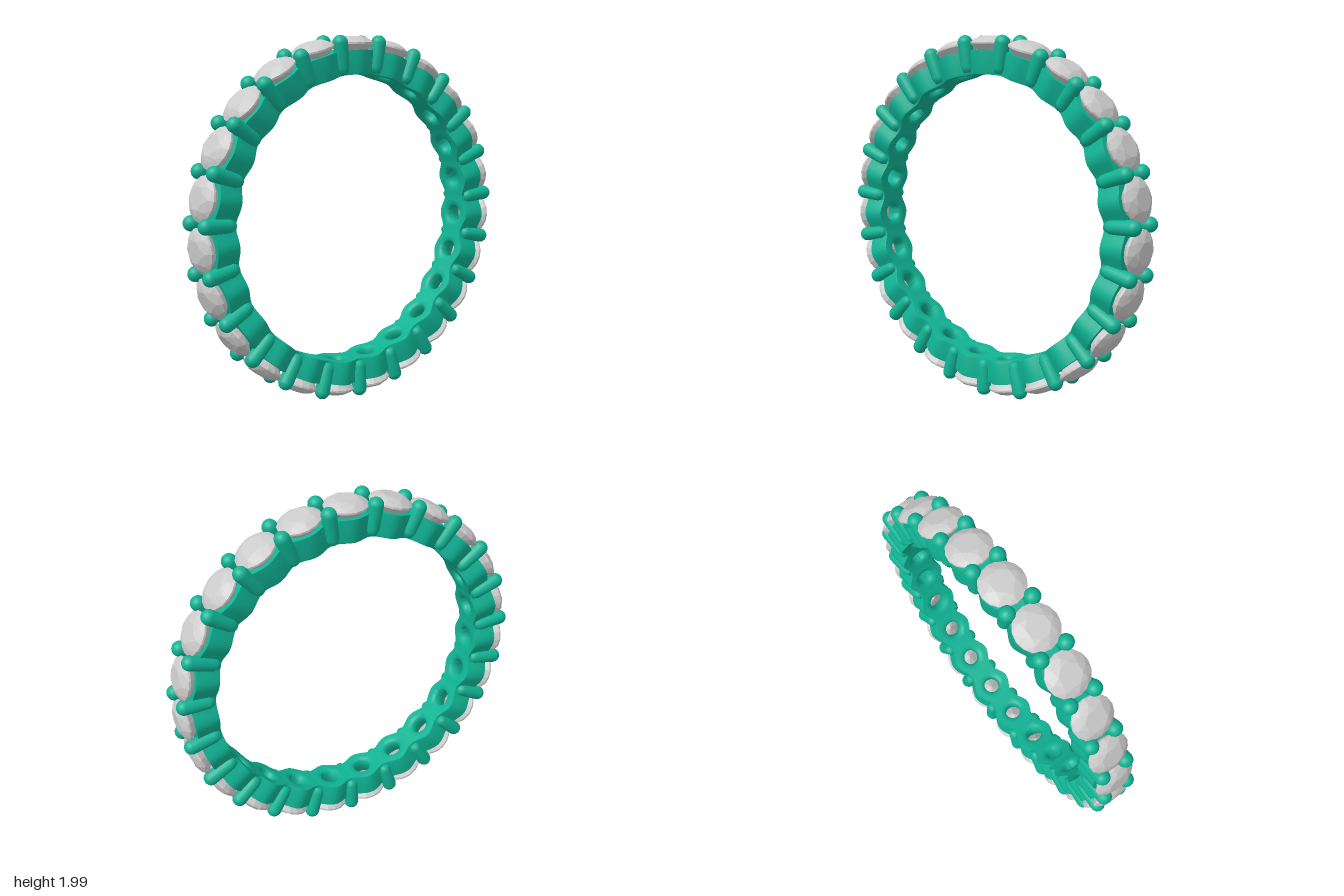
import * as THREE from 'three';
import { toCreasedNormals } from 'three/addons/utils/BufferGeometryUtils.js';
import { ConvexGeometry } from 'three/addons/geometries/ConvexGeometry.js';

const COUNT = 23;
const STEP = (Math.PI * 2) / COUNT;
const R_IN = 0.788, R_OUT = 0.917;

// One scalloped band segment with a tapered hole, bent around the ring axis
function bandSegment() {
  const n = 14, half = STEP / 2;
  const width = (t) => 0.093 + 0.019 * Math.cos((t / half) * Math.PI);
  // outline as (angle, z), going round from the +x, -z corner
  const outline = [];
  for (let side = 0; side < 4; side++) {
    for (let i = 0; i < n; i++) {
      const s = -1 + (2 * i) / n;
      if (side === 0) outline.push([half, s * width(half)]);
      if (side === 1) outline.push([-s * half, width(s * half)]);
      if (side === 2) outline.push([-half, -s * width(half)]);
      if (side === 3) outline.push([s * half, -width(s * half)]);
    }
  }
  // cross-section rings: hole radius, radial height, blend from hole to outline
  const rings = [
    [0.085, R_OUT, 0], [0.085, R_OUT, 0.5], [0.085, R_OUT, 1],
    [0.05, R_IN + 0.012, 1], [0.05, R_IN, 0.93], [0.05, R_IN, 0.5],
    [0.05, R_IN, 0.1], [0.046, R_IN + 0.012, 0], [0.046, 0.84, 0],
  ];
  const pos = [], index = [], m = outline.length;
  for (const [hole, r, k] of rings) {
    for (const [t, z] of outline) {
      const a = Math.atan2(z, t * 0.85);
      // the inner rounding only narrows the band, never its length
      const kt = k === 0.93 ? 1 : k;
      const th = THREE.MathUtils.lerp((hole * Math.cos(a)) / r, t, kt);
      const zz = THREE.MathUtils.lerp(hole * Math.sin(a), z, k);
      pos.push(r * Math.sin(th), r * Math.cos(th), zz);
    }
  }
  rings.forEach((ring, i) => {
    const i2 = (i + 1) % rings.length;
    for (let j = 0; j < m; j++) {
      const j2 = (j + 1) % m;
      const endWall = (i === 2 || i === 3) && (j < n || (j >= 2 * n && j < 3 * n));
      if (endWall) continue; // joins the next segment
      const a = i * m + j, a2 = i * m + j2, b = i2 * m + j, b2 = i2 * m + j2;
      index.push(a, a2, b, b, a2, b2);
    }
  });
  const g = new THREE.BufferGeometry();
  g.setAttribute('position', new THREE.Float32BufferAttribute(pos, 3));
  g.setIndex(index);
  return toCreasedNormals(g, 0.9);
}

// Round brilliant: table, crown, girdle, pavilion and culet
function stoneGeometry() {
  const pts = [];
  const ring = (r, y, n, shift = 0) => {
    for (let i = 0; i < n; i++) {
      const a = ((i + shift) / n) * Math.PI * 2;
      pts.push(new THREE.Vector3(r * Math.cos(a), y, r * Math.sin(a)));
    }
  };
  ring(0.062, 0.036, 8, 0.5);
  ring(0.092, 0.024, 8);
  ring(0.118, 0.004, 16);
  ring(0.118, -0.006, 16);
  ring(0.07, -0.054, 8, 0.5);
  pts.push(new THREE.Vector3(0, -0.11, 0));
  return new ConvexGeometry(pts);
}

// Straight post with a domed tip
function prongGeometry() {
  const r = 0.041, tip = 0.961;
  const profile = [new THREE.Vector2(0, 0.8), new THREE.Vector2(0.024, 0.8), new THREE.Vector2(0.036, 0.83)];
  for (let i = 0; i <= 8; i++) {
    const a = (i / 8) * Math.PI / 2;
    profile.push(new THREE.Vector2(i === 8 ? 0 : r * Math.cos(a), tip + r * Math.sin(a)));
  }
  return new THREE.LatheGeometry(profile, 20);
}

export function createModel() {
  const metal = new THREE.MeshStandardMaterial({ color: 0x10b394 });
  const gem = new THREE.MeshStandardMaterial({ color: 0xcccccc, flatShading: true });
  const segGeo = bandSegment(), gemGeo = stoneGeometry(), prongGeo = prongGeometry();

  const ring = new THREE.Group();
  ring.name = 'eternityRing';
  const add = (parent, name, geo, mat) => {
    const mesh = new THREE.Mesh(geo, mat);
    mesh.name = name;
    parent.add(mesh);
    return mesh;
  };

  for (let i = 0; i < COUNT; i++) {
    const setting = new THREE.Group();
    setting.name = 'setting';
    setting.rotation.z = -i * STEP;
    add(setting, 'bandSegment', segGeo, metal);
    add(setting, 'stone', gemGeo, gem).position.y = 0.953;
    // pair of prongs between this stone and the next
    for (const s of [-1, 1]) {
      const prong = add(setting, 'prong', prongGeo, metal);
      prong.rotation.z = -STEP / 2;
      prong.position.z = s * 0.074;
    }
    ring.add(setting);
  }
  ring.position.y = 1.002;

  const model = new THREE.Group();
  model.name = 'model';
  model.add(ring);
  return model;
}
